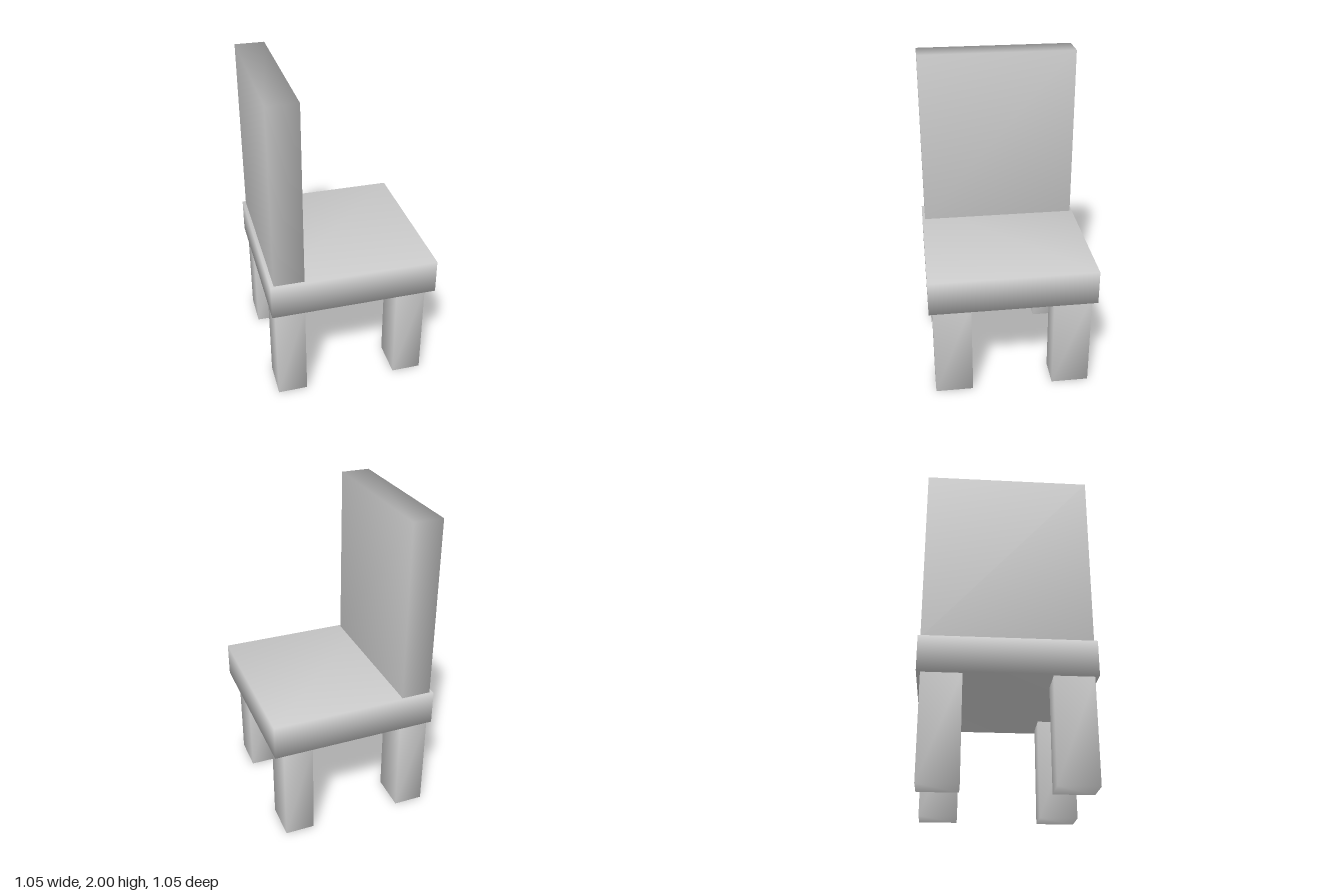
import * as THREE from 'three';
import { mergeVertices } from 'three/addons/utils/BufferGeometryUtils.js';

const material = new THREE.MeshStandardMaterial({ color: 0xcccccc });

// Block between two corners, with normals smoothed across its shared corners
function block(name, [x0, y0, z0], [x1, y1, z1]) {
  let geometry = new THREE.BoxGeometry(x1 - x0, y1 - y0, z1 - z0);
  geometry.deleteAttribute('normal');
  geometry.deleteAttribute('uv');
  geometry = mergeVertices(geometry);
  geometry.computeVertexNormals();
  const mesh = new THREE.Mesh(geometry, material);
  mesh.name = name;
  mesh.position.set((x0 + x1) / 2, (y0 + y1) / 2, (z0 + z1) / 2);
  return mesh;
}

export function createModel() {
  const chair = new THREE.Group();
  chair.name = 'chair';

  // Square seat slab and tall backrest along its -x edge
  chair.add(block('seat', [-0.523, 0.64, -0.523], [0.523, 0.86, 0.523]));
  chair.add(block('backrest', [-0.502, 0.855, -0.508], [-0.315, 2, 0.505]));

  // Four legs: a pair under the backrest and a pair under the open edge
  for (const [side, x] of [['back', -0.502], ['front', 0.275]]) {
    chair.add(block(side + 'LegA', [x, 0, 0.26], [x + 0.187, 0.645, 0.5]));
    chair.add(block(side + 'LegB', [x, 0, -0.5], [x + 0.187, 0.645, -0.26]));
  }
  return chair;
}
